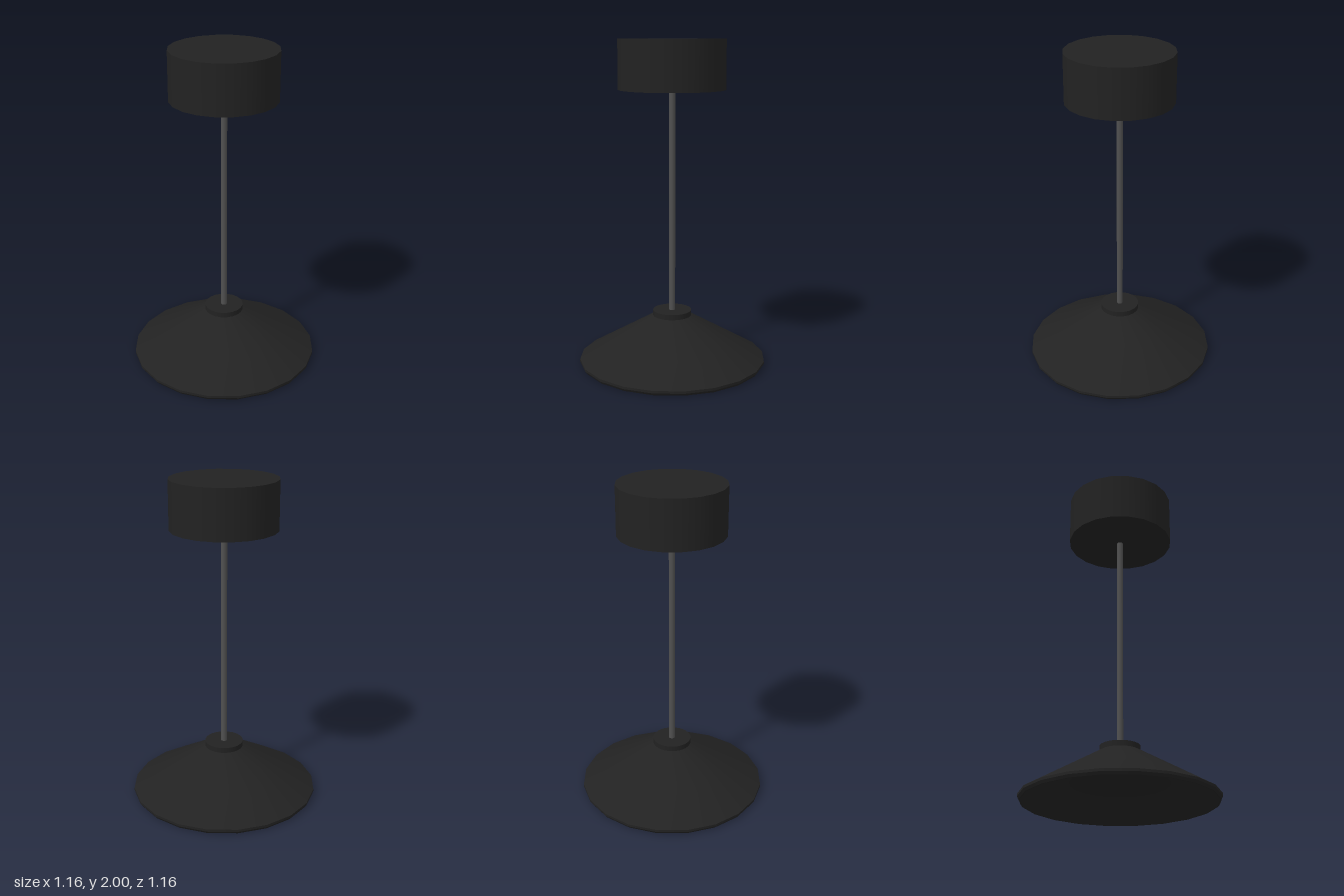
import * as THREE from 'three';
import { mergeGeometries } from 'three/addons/utils/BufferGeometryUtils.js';

// Turns a profile, with a sharp crease at each profile point and smooth shading around the axis
function turned(profile, sides) {
  const bands = [];
  for (let i = 0; i < profile.length - 1; i++) {
    const pair = [profile[i], profile[i + 1]].map(([r, y]) => new THREE.Vector2(r, y));
    bands.push(new THREE.LatheGeometry(pair, sides));
  }
  return mergeGeometries(bands);
}

export function createModel() {
  const group = new THREE.Group();
  const black = new THREE.MeshStandardMaterial({ color: 0x222222 });
  const grey = new THREE.MeshStandardMaterial({ color: 0x505050 });

  const add = (name, geometry, material) => {
    const mesh = new THREE.Mesh(geometry, material);
    mesh.name = name;
    group.add(mesh);
  };

  // Ceiling canopy
  add('canopy', turned([[0, 1.7], [0.325, 1.7], [0.325, 2], [0, 2]], 20), black);

  // Suspension rod
  add('rod', turned([[0, 0.32], [0.019, 0.32], [0.019, 1.71], [0, 1.71]], 12), grey);

  // Conical shade: recessed underside, bevelled rim, cone and top collar
  add('shade', turned([
    [0, 0.11], [0.29, 0.11], [0.565, 0], [0.57, 0], [0.58, 0.015], [0.58, 0.03],
    [0.12, 0.3], [0.12, 0.333], [0, 0.333],
  ], 20), black);

  return group;
}
